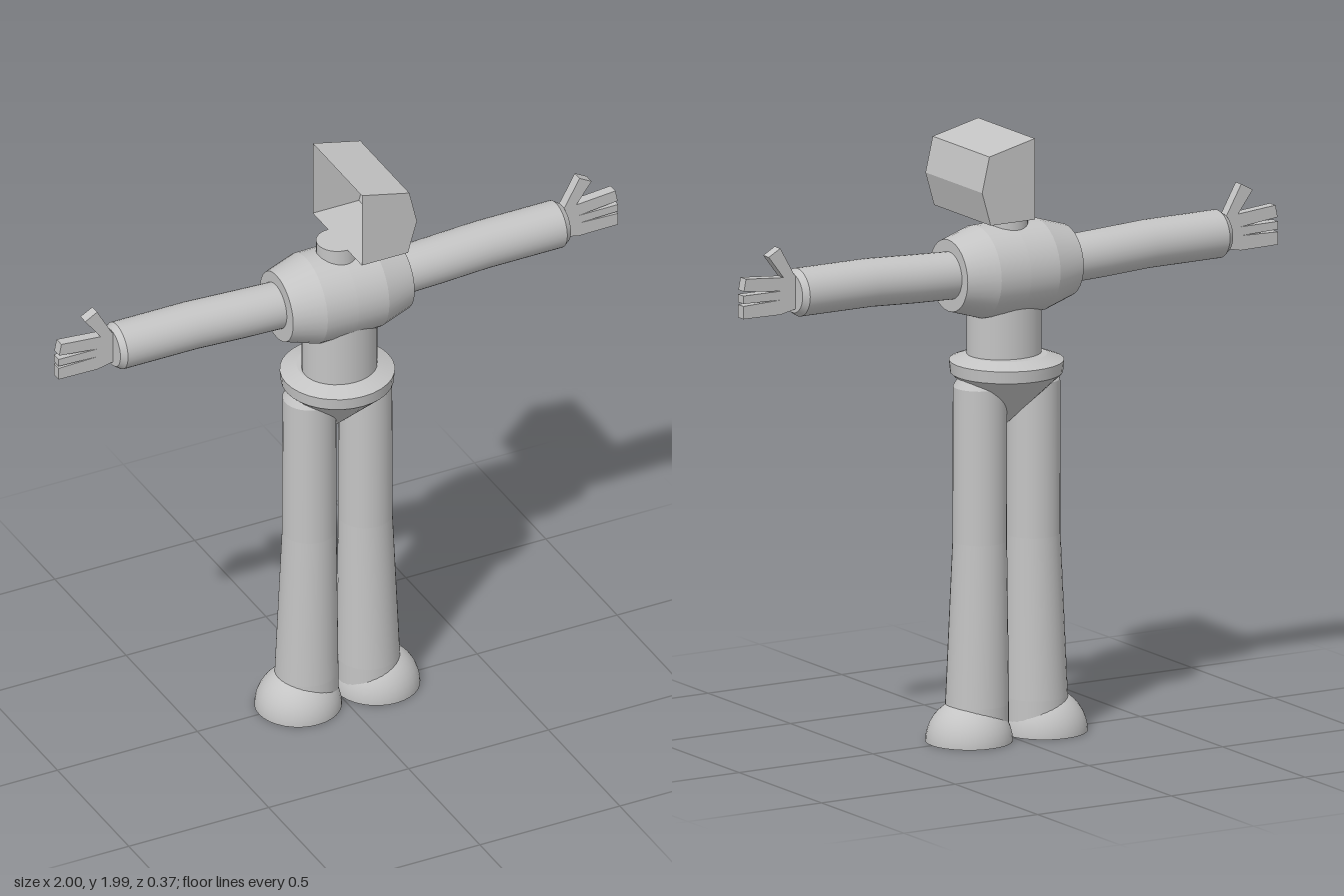
import * as THREE from 'three';

const grey = new THREE.MeshStandardMaterial({ color: 0xc4c4c4, side: THREE.DoubleSide });
grey.name = 'plain grey';

const SIDES = 32;

function part(name, geometry, parent) {
  const mesh = new THREE.Mesh(geometry, grey);
  mesh.name = name;
  parent.add(mesh);
  return mesh;
}

// Turned solid with crisp edges between bands: each pair of profile points is its own smooth band.
function turned(name, profile, parent) {
  const group = new THREE.Group();
  group.name = name;
  for (let i = 0; i < profile.length - 1; i++) {
    const pts = [profile[i], profile[i + 1]].map(([r, y]) => new THREE.Vector2(r, y));
    part(name + 'Band', new THREE.LatheGeometry(pts, SIDES), group);
  }
  parent.add(group);
  return group;
}

// Moves a tube along x so its centre line follows a rule of height.
function bend(group, rule) {
  group.children.forEach((mesh) => {
    const p = mesh.geometry.attributes.position;
    for (let i = 0; i < p.count; i++) p.setX(i, p.getX(i) + rule(p.getY(i)));
  });
}

function outline(points) {
  return new THREE.Shape(points.map(([x, y]) => new THREE.Vector2(x, y)));
}

// Half head: pentagonal shell, open on the x = 0 plane
function buildHead(parent) {
  const head = new THREE.Group();
  head.name = 'head';
  const profile = [[0, 1.72], [0.165, 1.72], [0.197, 1.83], [0.17, 1.945], [0, 1.985]];
  const half = 0.172;
  for (const side of [1, -1]) {
    const cap = part('headSide', new THREE.ShapeGeometry(outline(profile)), head);
    if (side < 0) cap.geometry.scale(1, 1, -1).index.array.reverse();
    cap.geometry.translate(0, 0, side * half);
    cap.geometry.computeVertexNormals();
  }
  for (let i = 0; i < profile.length - 1; i++) {
    const [ax, ay] = profile[i], [bx, by] = profile[i + 1];
    const panel = new THREE.BufferGeometry();
    panel.setAttribute('position', new THREE.Float32BufferAttribute(
      [ax, ay, half, ax, ay, -half, bx, by, -half, bx, by, half], 3));
    panel.setIndex([0, 1, 2, 0, 2, 3]);
    panel.computeVertexNormals();
    part('headPanel', panel, head);
  }
  parent.add(head);
}

// Arm and hand, s = 1 for the model's left, -1 for its right
function buildArm(s, parent) {
  const side = new THREE.Group();
  side.name = s > 0 ? 'leftArm' : 'rightArm';

  const sleeve = turned('sleeve', [
    [0, 0.2], [0.077, 0.2], [0.078, 0.35], [0.078, 0.52], [0.078, 0.785], [0.064, 0.805], [0, 0.805],
  ], side);
  bend(sleeve, (y) => 0.015 * THREE.MathUtils.smoothstep(y, 0.2, 0.55));
  sleeve.rotation.z = -Math.PI / 2;
  sleeve.scale.x = -1;
  sleeve.position.set(0, 1.53, -0.005);

  // Flat hand with three fingers and a thumb
  const hand = outline([
    [0.79, 1.50], [0.86, 1.485], [1.0, 1.487], [1.0, 1.529], [0.86, 1.533],
    [1.0, 1.537], [1.0, 1.563], [0.86, 1.562], [0.998, 1.577], [0.99, 1.617],
    [0.85, 1.605], [0.905, 1.678], [0.862, 1.702], [0.81, 1.61], [0.79, 1.59],
  ]);
  part('hand', new THREE.ExtrudeGeometry(hand, { depth: 0.034, bevelEnabled: false }), side)
    .position.z = -0.026;

  side.scale.x = s;
  parent.add(side);
}

// Leg and domed shoe
function buildLeg(s, parent) {
  const side = new THREE.Group();
  side.name = s > 0 ? 'leftLeg' : 'rightLeg';

  const trouser = turned('trouser', [
    [0, 0.01], [0.102, 0.01], [0.102, 0.12], [0.087, 0.65], [0.086, 1.155], [0.068, 1.185], [0, 1.185],
  ], side);
  bend(trouser, (y) => 0.01 * (1 - THREE.MathUtils.smoothstep(y, 0.1, 0.7)));
  trouser.position.x = 0.1;

  // Hollow dome, open underneath
  part('shoe', new THREE.SphereGeometry(0.14, SIDES, 10, 0, Math.PI * 2, 0, Math.PI / 2), side)
    .position.x = 0.14;

  side.scale.x = s;
  parent.add(side);
}

export function createModel() {
  const model = new THREE.Group();
  model.name = 'figure';

  buildHead(model);
  turned('neck', [[0.068, 1.64], [0.068, 1.718], [0, 1.718]], model);

  // Barrel chest lying along x
  const chest = turned('chest', [
    [0, -0.217], [0.117, -0.217], [0.15, -0.11], [0.152, 0], [0.15, 0.11], [0.117, 0.217], [0, 0.217],
  ], model);
  chest.rotation.z = -Math.PI / 2;
  chest.position.y = 1.529;

  const waist = turned('waist', [[0.123, 1.22], [0.123, 1.45]], model);
  waist.scale.z = 0.9;
  waist.position.z = 0.015;

  // Hip ring running down to a cone between the legs
  turned('hips', [
    [0, 1.02], [0.18, 1.19], [0.184, 1.23], [0.13, 1.25], [0, 1.25],
  ], model);

  for (const s of [1, -1]) {
    buildArm(s, model);
    buildLeg(s, model);
  }
  return model;
}
